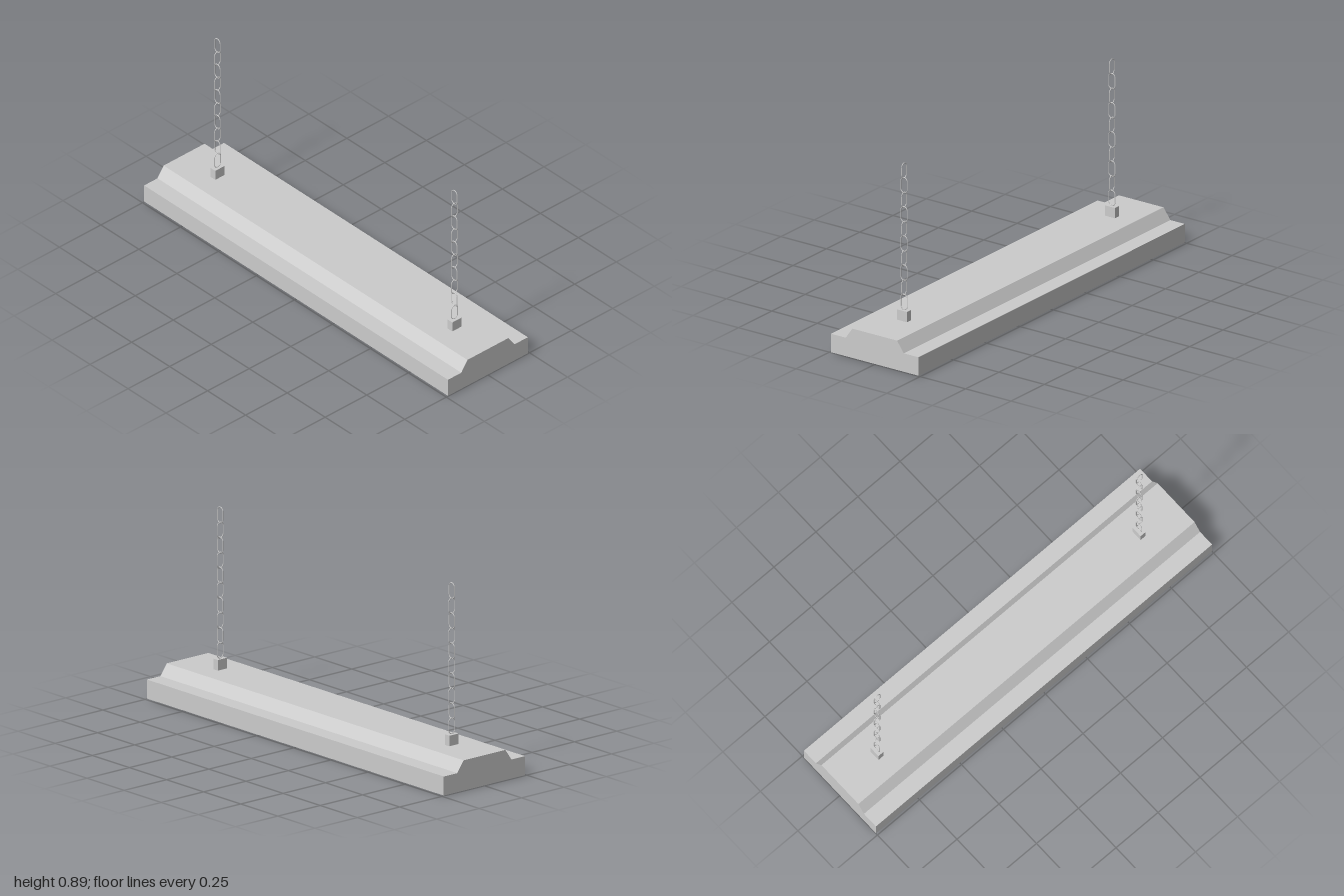
import * as THREE from 'three';

const grey = new THREE.MeshStandardMaterial({ color: 0xcccccc });

function add(parent, name, geometry, x = 0, y = 0, z = 0) {
  const mesh = new THREE.Mesh(geometry, grey);
  mesh.name = name;
  mesh.position.set(x, y, z);
  parent.add(mesh);
  return mesh;
}

// Mirrors a half profile (listed from +x inwards) into a full run of points
const mirror = half => [...half, ...half.map(([x, y]) => [-x, y]).reverse()];

function extrude(points, depth) {
  const shape = new THREE.Shape(points.map(([x, y]) => new THREE.Vector2(x, y)));
  return new THREE.ExtrudeGeometry(shape, { depth, bevelEnabled: false });
}

// Closed centre line of a chain link: two straights and two half circles
class LinkCurve extends THREE.Curve {
  constructor(radius, straight) {
    super();
    this.radius = radius;
    this.straight = straight;
  }
  getPoint(t, target = new THREE.Vector3()) {
    const r = this.radius, s = this.straight, arc = Math.PI * r;
    let d = (t % 1) * 2 * (arc + s);
    const flip = d >= arc + s ? -1 : 1;
    if (flip < 0) d -= arc + s;
    if (d < arc) target.set(r * Math.cos(d / r), s / 2 + r * Math.sin(d / r), 0);
    else target.set(-r, s / 2 - (d - arc), 0);
    return target.multiplyScalar(flip);
  }
}

export function createModel() {
  const model = new THREE.Group();
  model.name = 'hangingTubeLight';

  const rim = 0.002, plate = 0.012, half = 1;
  const outer = mirror([[0.24, rim], [0.24, 0.09], [0.16, 0.09], [0.123, 0.142]]);
  // Open underside with a narrow divider between the two tubes
  const inner = mirror([[0.225, rim], [0.225, 0.075], [0.015, 0.075], [0.015, 0.015]]).reverse();

  // Housing and its closed ends
  const length = 2 * (half - plate);
  add(model, 'housing', extrude([...outer, ...inner], length), 0, 0, -length / 2);
  for (const z of [-half, half - plate]) add(model, 'endPlate', extrude(outer, plate), 0, 0, z);

  // Lamp tubes
  const tube = new THREE.CylinderGeometry(0.031, 0.031, length, 32).rotateX(Math.PI / 2);
  for (const x of [-0.1, 0.1]) add(model, 'lampTube', tube, x, 0.031, 0);

  // Hanging chains on small mounting blocks
  const wire = 0.002, linkHeight = 0.077, linkRadius = 0.0178, pitch = 0.0696;
  const straight = linkHeight - 2 * (linkRadius + wire);
  const link = new THREE.TubeGeometry(new LinkCurve(linkRadius, straight), 40, wire, 8, true);
  const block = new THREE.BoxGeometry(0.054, 0.05, 0.03);
  for (const z of [-0.78, 0.78]) {
    const hanger = new THREE.Group();
    hanger.name = 'hanger';
    hanger.position.z = z;
    add(hanger, 'mountingBlock', block, 0, 0.166, 0);
    for (let i = 0; i < 10; i++) {
      const mesh = add(hanger, 'chainLink', link, 0, 0.19 + linkHeight / 2 + i * pitch, 0);
      mesh.rotation.y = (i % 2) * Math.PI / 2;
    }
    model.add(hanger);
  }
  return model;
}
